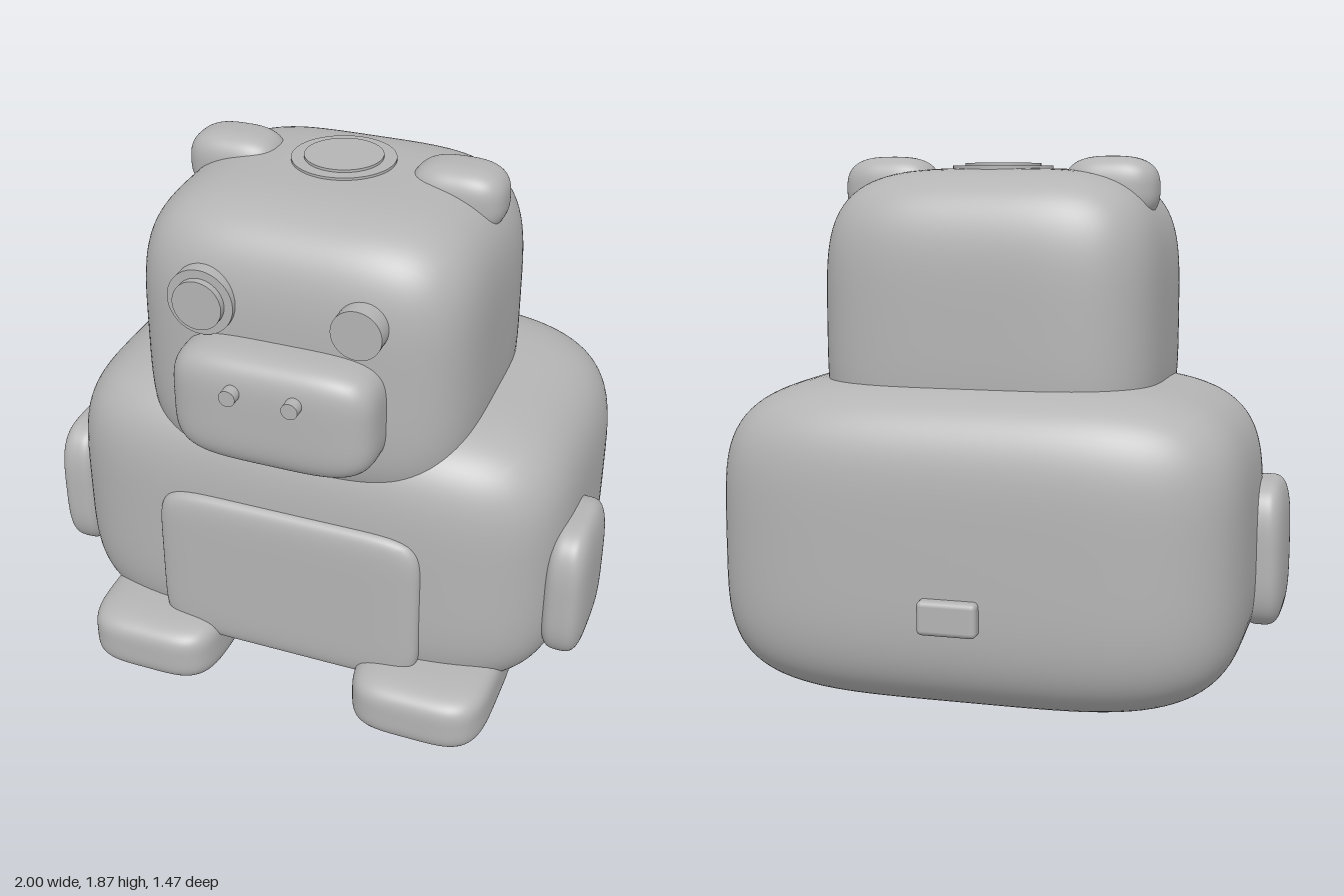
import * as THREE from 'three';
import { mergeVertices } from 'three/addons/utils/BufferGeometryUtils.js';
import { RoundedBoxGeometry } from 'three/addons/geometries/RoundedBoxGeometry.js';

const clay = new THREE.MeshStandardMaterial({ name: 'clayGrey', color: 0xb4b4b4 });

// Soft pillow solid: a cube pushed onto the surface |x|^n + |y|^n + |z|^n = 1, then scaled
function pillow(min, max, n, seg = 28) {
  let geo = new THREE.BoxGeometry(2, 2, 2, seg, seg, seg);
  geo.deleteAttribute('uv');
  geo.deleteAttribute('normal');
  geo = mergeVertices(geo);
  const p = geo.attributes.position;
  const v = new THREE.Vector3();
  for (let i = 0; i < p.count; i++) {
    v.fromBufferAttribute(p, i);
    const sum = Math.abs(v.x) ** n + Math.abs(v.y) ** n + Math.abs(v.z) ** n;
    v.multiplyScalar(sum ** (-1 / n));
    p.setXYZ(i, v.x, v.y, v.z);
  }
  const half = max.map((m, i) => (m - min[i]) / 2);
  geo.scale(...half);
  geo.translate(...min.map((m, i) => m + half[i]));
  geo.computeVertexNormals();
  return geo;
}

// Disc or peg along z, from z0 to z1
function peg(x, y, r, z0, z1) {
  return new THREE.CylinderGeometry(r, r, z1 - z0, 40)
    .rotateX(Math.PI / 2)
    .translate(x, y, (z0 + z1) / 2);
}

// Disc along y, from y0 to y1
function disc(r, y0, y1, z) {
  return new THREE.CylinderGeometry(r, r, y1 - y0, 48).translate(0, (y0 + y1) / 2, z);
}

export function createModel() {
  const model = new THREE.Group();
  model.name = 'seatedAnimal';
  const add = (name, geo) => {
    const mesh = new THREE.Mesh(geo, clay);
    mesh.name = name;
    model.add(mesh);
  };

  // Main masses
  add('body', pillow([-0.91, 0.02, -0.69], [0.91, 1.13, 0.535], 4.2, 36));
  add('head', pillow([-0.585, 0.78, -0.47], [0.585, 1.83, 0.545], 4, 36));
  add('snout', pillow([-0.35, 1.02, 0.34], [0.35, 1.43, 0.7], 4.2));
  add('bellyPatch', pillow([-0.48, 0.15, 0.35], [0.48, 0.765, 0.572], 7));

  // Paired parts
  for (const [side, s] of [['left', 1], ['right', -1]]) {
    const paired = (name, x0, x1, y0, y1, z0, z1, n) => add(side + name,
      pillow([Math.min(s * x0, s * x1), y0, z0], [Math.max(s * x0, s * x1), y1, z1], n));
    paired('Ear', 0.23, 0.555, 1.645, 1.87, -0.165, 0.065, 2.8);
    paired('Arm', 0.84, 1.0, 0.23, 0.75, -0.04, 0.36, 3.5);
    paired('Foot', 0.255, 0.745, 0, 0.24, 0.08, 0.7, 4.2);
    add(side + 'Eye', peg(s * 0.267, 1.535, 0.085, 0.4, 0.585));
    add(side + 'Nostril', peg(s * 0.105, 1.315, 0.028, 0.62, 0.735));
  }

  // Ring around one eye only
  add('eyePatch', peg(-0.267, 1.535, 0.114, 0.4, 0.56));

  // Crown cap: low rim with a slightly higher disc
  add('crownRim', disc(0.175, 1.78, 1.838, -0.02));
  add('crownDisc', disc(0.132, 1.78, 1.847, -0.02));

  // Small tag on the back
  add('tail', new RoundedBoxGeometry(0.2, 0.115, 0.09, 3, 0.018).translate(0, 0.398, -0.685));

  return model;
}
